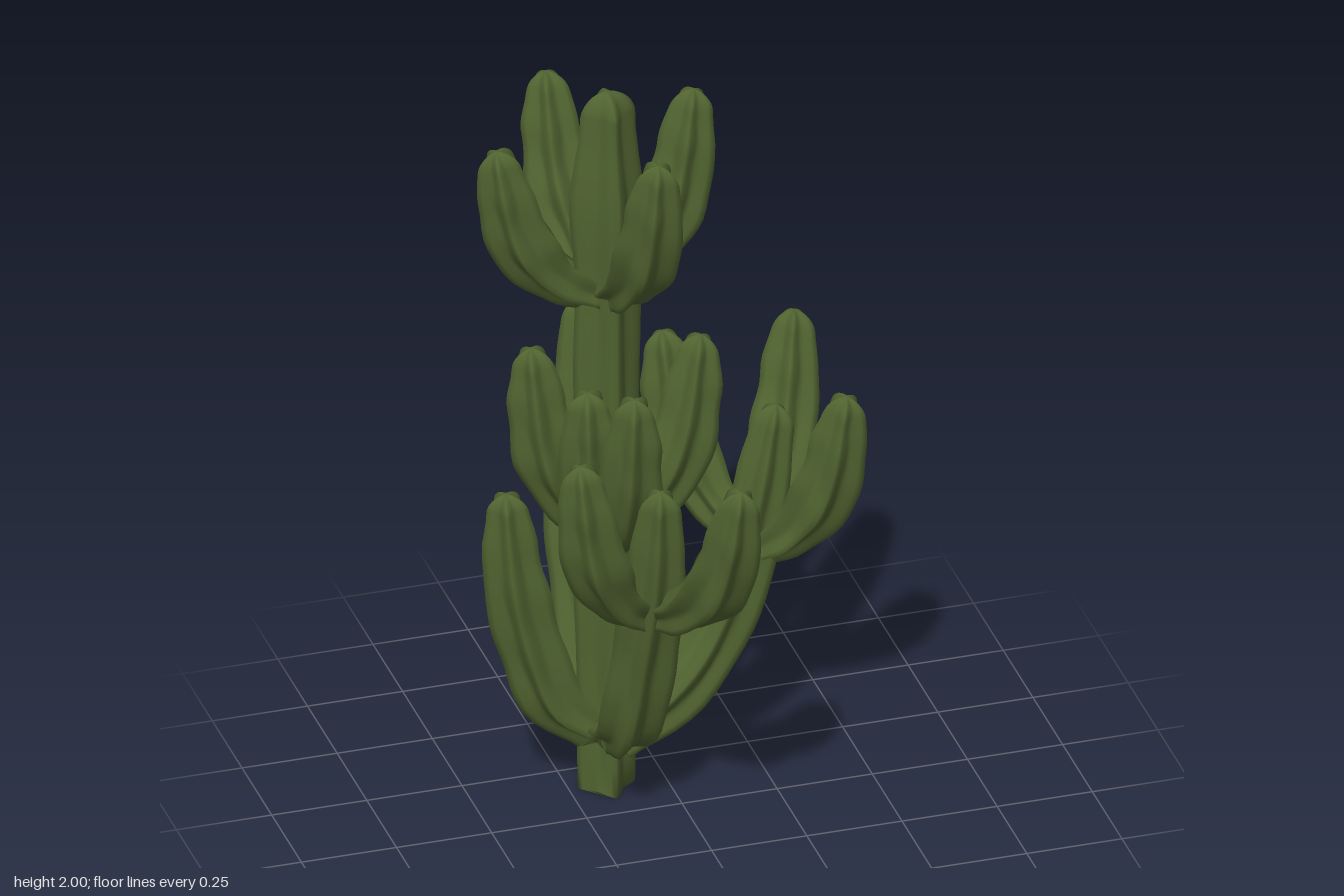
import * as THREE from 'three';

const SIDES = 40, RINGS = 30;
const UP = new THREE.Vector3(0, 1, 0);
const green = new THREE.MeshStandardMaterial({ color: 0x506330 });
green.name = 'cactus green';

const v = (p) => new THREE.Vector3(...p);

// Eased lookup in [t, value] keys
function lookup(keys, t) {
  for (let i = 1; i < keys.length; i++) {
    const [t0, a] = keys[i - 1], [t1, b] = keys[i];
    if (t <= t1) return a + (b - a) * THREE.MathUtils.smoothstep(t, t0, t1);
  }
  return keys[keys.length - 1][1];
}

// Ribbed stem: a star section swept along a curve, closed by a rounded tip.
// The first rib points to -x.
function stem(name, points, ribs, radius, keys, dome, phase) {
  const curve = new THREE.CatmullRomCurve3(points.map(v));
  const pos = [], index = [];
  const turn = new THREE.Quaternion();
  for (let i = 0; i <= RINGS; i++) {
    const k = i / RINGS;
    const body = Math.min(k / 0.75, 1) * (1 - dome);
    const cap = k > 0.75 ? Math.sin(((k - 0.75) / 0.25) * Math.PI / 2) : 0;
    const t = body + cap * dome;
    const c = curve.getPointAt(t);
    turn.setFromUnitVectors(UP, curve.getTangentAt(t));
    const R = radius * lookup(keys, t) * Math.max(0.02, Math.sqrt(Math.max(0, 1 - cap * cap)));
    for (let j = 0; j < SIDES; j++) {
      const a = (j / SIDES) * Math.PI * 2;
      const rib = 0.6 + 0.4 * (1 - Math.abs(Math.sin(a * ribs / 2)));
      const wobble = 1 + 0.03 * Math.sin(t * 23 + Math.round(j * ribs / SIDES) % ribs * 2 + phase);
      const r = R * rib * wobble;
      const p = new THREE.Vector3(-Math.cos(a) * r, 0, Math.sin(a) * r).applyQuaternion(turn).add(c);
      pos.push(p.x, p.y, p.z);
    }
  }
  for (let i = 0; i < RINGS; i++) {
    for (let j = 0; j < SIDES; j++) {
      const a = i * SIDES + j, b = i * SIDES + (j + 1) % SIDES;
      index.push(a, b, a + SIDES, b, b + SIDES, a + SIDES);
    }
  }
  // End caps
  const end = RINGS * SIDES;
  for (let j = 1; j < SIDES - 1; j++) {
    index.push(0, j + 1, j, end, end + j, end + j + 1);
  }
  const geo = new THREE.BufferGeometry();
  geo.setAttribute('position', new THREE.Float32BufferAttribute(pos, 3));
  geo.setIndex(index);
  geo.computeVertexNormals();
  const mesh = new THREE.Mesh(geo, green);
  mesh.name = name;
  return mesh;
}

const armKeys = [[0, 0.5], [0.2, 0.75], [0.48, 1.02], [0.75, 0.88], [0.95, 0.64], [1, 0.6]];
const limbKeys = [[0, 0.75], [0.25, 1], [0.6, 1], [0.8, 0.85], [0.96, 0.64], [1, 0.6]];
const trunkKeys = [[0, 0.76], [0.3, 0.87], [0.65, 0.87], [0.72, 0.86], [0.84, 1], [0.95, 0.73], [1, 0.7]];

// Short arm that leaves its parent sideways and bends upright
function arm(name, base, tip, phase) {
  const at = (h, y) => [base[0] + (tip[0] - base[0]) * h, base[1] + (tip[1] - base[1]) * y, base[2] + (tip[2] - base[2]) * h];
  return stem(name, [base, at(0.45, 0.19), at(0.78, 0.48), tip], 5, 0.089, armKeys, 0.09, phase);
}

export function createModel() {
  const group = new THREE.Group();
  group.name = 'cactus';
  const X = -0.15, Z = -0.15;

  group.add(stem('trunk', [[X, 0, Z], [X, 0.7, Z], [X, 1.4, Z], [X, 2, Z]], 4, 0.1, trunkKeys, 0.035, 0.3));

  // Large limbs rising from the foot of the trunk
  const limbs = {
    leftLimb: [[-0.13, 0.13, -0.15], [0, 0.2, -0.17], [0.11, 0.31, -0.19], [0.2, 0.49, -0.2], [0.26, 0.72, -0.2], [0.31, 0.99, -0.2]],
    frontLimb: [[-0.15, 0.18, -0.12], [-0.15, 0.24, 0], [-0.14, 0.37, 0.065], [-0.13, 0.52, 0.1], [-0.12, 0.75, 0.16], [-0.12, 1.03, 0.205]],
    backLimb: [[-0.15, 0.17, -0.18], [-0.14, 0.27, -0.3], [-0.14, 0.46, -0.385], [-0.14, 0.7, -0.45], [-0.135, 0.98, -0.475]],
    rightLimb: [[-0.18, 0.17, -0.15], [-0.28, 0.26, -0.16], [-0.34, 0.42, -0.17], [-0.385, 0.62, -0.17], [-0.41, 0.87, -0.17]],
  };
  Object.entries(limbs).forEach(([name, pts], i) => group.add(stem(name, pts, 5, 0.088, limbKeys, 0.06, i * 0.8)));

  // Arms: name, base, tip
  const arms = [
    // Crown around the top of the trunk
    ['crownRightArm', [-0.17, 1.41, -0.15], [-0.45, 1.89, -0.125]],
    ['crownLeftArm', [-0.13, 1.42, -0.15], [0.09, 1.945, -0.19]],
    ['crownFrontArm', [-0.15, 1.42, -0.13], [-0.1, 1.925, 0.125]],
    ['crownBackArm', [-0.16, 1.42, -0.17], [-0.225, 1.92, -0.43]],
    // Ring around the middle of the trunk
    ['middleRightArm', [-0.17, 0.73, -0.15], [-0.345, 1.28, -0.17]],
    ['middleLeftArm', [-0.13, 0.7, -0.15], [0.1, 1.25, -0.16]],
    ['middleFrontArm', [-0.15, 0.7, -0.13], [-0.155, 1.245, 0.1]],
    ['middleFrontRightArm', [-0.16, 0.72, -0.14], [-0.245, 1.22, -0.01]],
    ['middleBackArm', [-0.15, 0.73, -0.17], [-0.15, 1.3, -0.35]],
    // Side arms on the front limb
    ['frontLimbRightArm', [-0.14, 0.64, 0.15], [-0.35, 1.175, 0.265]],
    ['frontLimbFrontArm', [-0.12, 0.65, 0.16], [0.005, 1.16, 0.485]],
    // Side arms on the left limb
    ['leftLimbBackArm', [0.25, 0.59, -0.21], [0.44, 1.1, -0.465]],
    ['leftLimbFrontArm', [0.25, 0.58, -0.19], [0.445, 1.08, -0.035]],
    ['leftLimbInnerArm', [0.24, 0.61, -0.21], [0.075, 1.13, -0.41]],
  ];
  arms.forEach(([name, base, tip], i) => group.add(arm(name, base, tip, i * 0.7)));
  return group;
}
